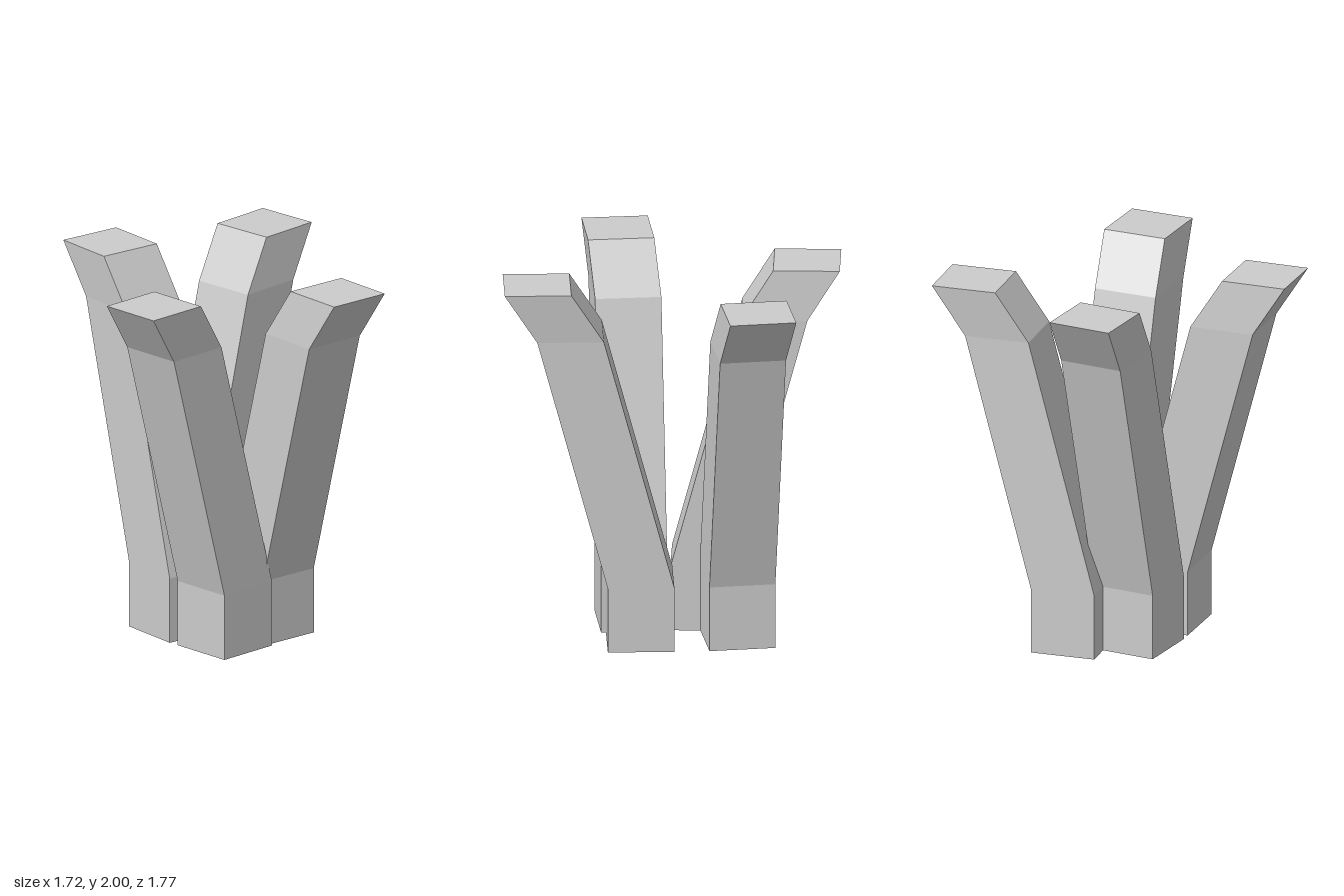
import * as THREE from 'three';

const SIZE = 0.35;
const HEIGHTS = [0, 0.355, 1.73, 2];

// Square post whose cross-section centre [x, z] shifts from ring to ring
function bentPost(yaw, centres) {
  const box = new THREE.BoxGeometry(SIZE, 3, SIZE, 1, 3, 1);
  box.rotateY(yaw);
  const pos = box.attributes.position;
  for (let i = 0; i < pos.count; i++) {
    const ring = Math.round(pos.getY(i) + 1.5);
    const [x, z] = centres[ring];
    pos.setXYZ(i, pos.getX(i) + x, HEIGHTS[ring], pos.getZ(i) + z);
  }
  const geometry = box.toNonIndexed();
  geometry.computeVertexNormals();
  return geometry;
}

// Centres at the foot, top of the foot, upper bend and tip
const POSTS = [
  { name: 'backPost', yaw: 0, foot: [-0.163, -0.176], bend: [-0.165, -0.545], tip: [-0.185, -0.715] },
  { name: 'leftPost', yaw: 0.17, foot: [0.133, -0.356], bend: [0.49, -0.42], tip: [0.657, -0.478] },
  { name: 'frontPost', yaw: 0.055, foot: [0.185, 0.155], bend: [0.205, 0.525], tip: [0.24, 0.695] },
  { name: 'rightPost', yaw: 0.122, foot: [-0.135, 0.21], bend: [-0.5, 0.25], tip: [-0.667, 0.291] },
];

export function createModel() {
  const group = new THREE.Group();
  group.name = 'splayedPosts';
  const material = new THREE.MeshStandardMaterial({ color: 0xcccccc, flatShading: true });

  // Four posts splaying outward from a common foot
  for (const { name, yaw, foot, bend, tip } of POSTS) {
    const post = new THREE.Mesh(bentPost(yaw, [foot, foot, bend, tip]), material);
    post.name = name;
    group.add(post);
  }
  return group;
}
